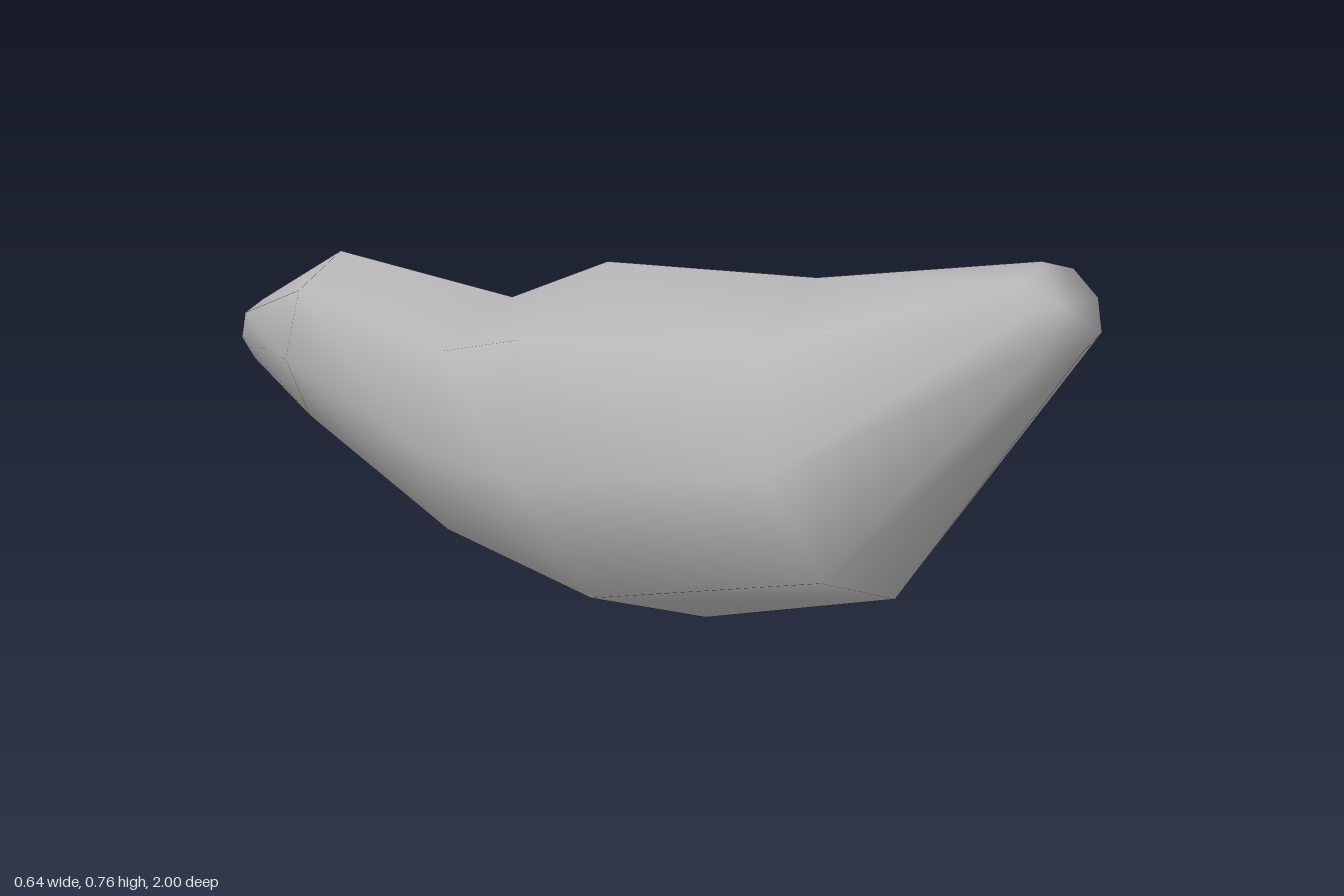
import * as THREE from 'three';

const SIDES = 8;

// Elliptical sections, front tip to rear tip:
// centre, vector to the left side (+x), vector to the top
const SECTIONS = [
  { c: [-0.025, 0.7025, 0.96], side: [0.078, 0, 0.01], up: [0, 0.0625, -0.04] },
  { c: [0.06, 0.37, 0.51], side: [0.26, -0.005, -0.03], up: [0, 0.255, -0.09] },
  { c: [-0.01, 0.298, 0.135], side: [0.312, 0.004, 0.035], up: [0, 0.292, -0.115] },
  { c: [0.03, 0.2325, -0.243], side: [0.228, 0, 0.025], up: [0, 0.2325, -0.008] },
  { c: [-0.045, 0.33, -0.605], side: [0.165, 0, -0.015], up: [0, 0.165, -0.015] },
  { c: [0.083, 0.238, -0.981], side: [0.063, 0, 0.009], up: [0, 0.0625, -0.017] },
];

// Joins the sections into one closed skin with shared, smooth normals
function loft(sections) {
  const pos = [], index = [];
  for (const { c, side, up } of sections) {
    for (let j = 0; j < SIDES; j++) {
      const a = (j / SIDES) * Math.PI * 2;
      for (let k = 0; k < 3; k++) pos.push(c[k] + side[k] * Math.cos(a) + up[k] * Math.sin(a));
    }
  }
  const last = sections.length - 1;
  const front = sections.length * SIDES, rear = front + 1;
  pos.push(...sections[0].c, ...sections[last].c);
  for (let j = 0; j < SIDES; j++) {
    const n = (j + 1) % SIDES;
    for (let i = 0; i < last; i++) {
      const a = i * SIDES + j, b = i * SIDES + n;
      index.push(a, a + SIDES, b, b, a + SIDES, b + SIDES);
    }
    // end caps
    index.push(front, j, n, rear, last * SIDES + n, last * SIDES + j);
  }
  const geo = new THREE.BufferGeometry();
  geo.setAttribute('position', new THREE.Float32BufferAttribute(pos, 3));
  geo.setIndex(index);
  geo.computeVertexNormals();
  return geo;
}

export function createModel() {
  const group = new THREE.Group();
  const grey = new THREE.MeshStandardMaterial({ color: 0xb8b8b8 });
  grey.name = 'plain grey';
  const body = new THREE.Mesh(loft(SECTIONS), grey);
  body.name = 'body';
  group.add(body);
  return group;
}
